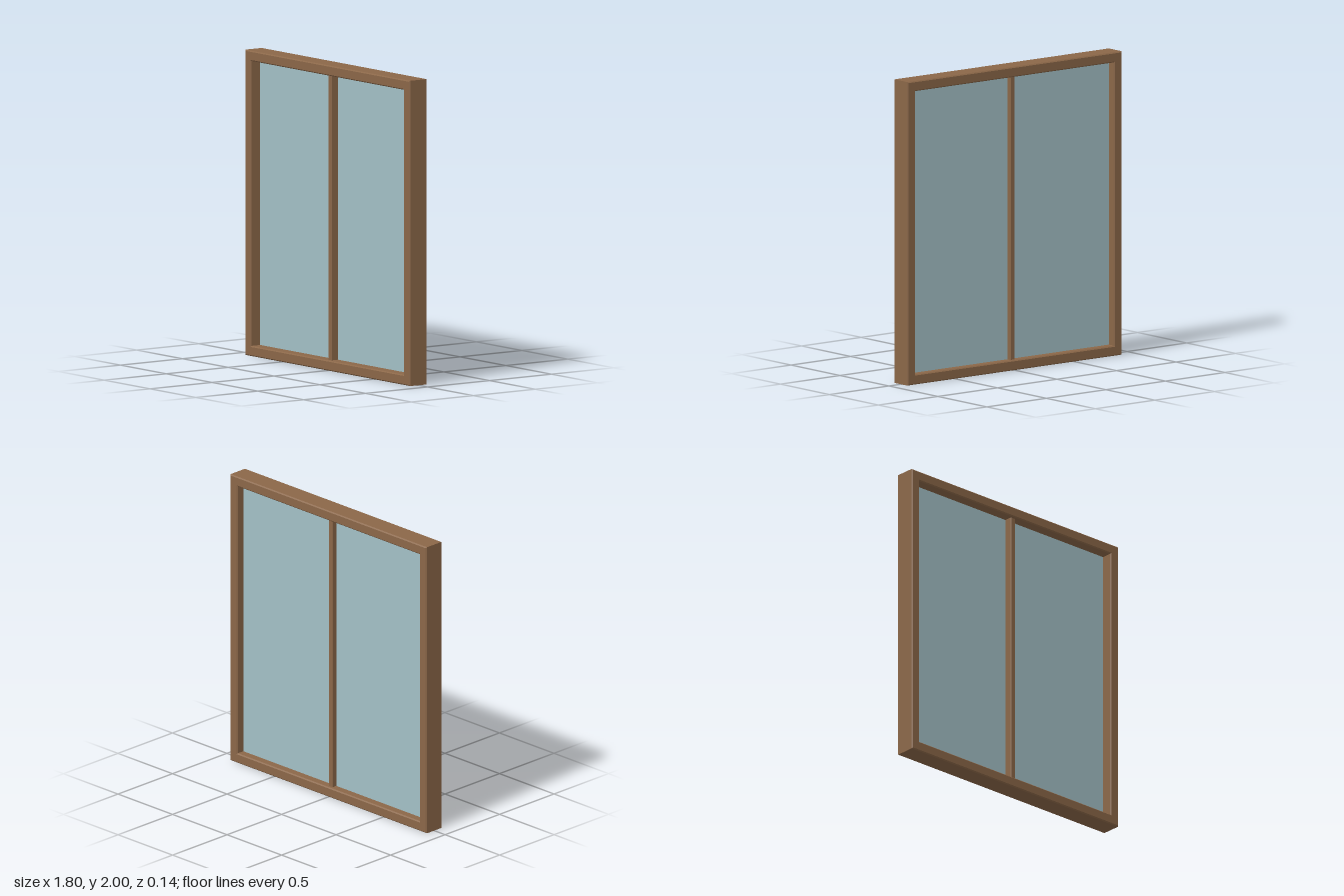
import * as THREE from 'three';

const W = 1.8, H = 2, DEPTH = 0.144, RAIL = 0.067, BEVEL = 0.007;

function rect(path, w, h) {
  path.moveTo(-w / 2, -h / 2);
  path.lineTo(w / 2, -h / 2);
  path.lineTo(w / 2, h / 2);
  path.lineTo(-w / 2, h / 2);
  path.closePath();
  return path;
}

// Extrudes along z, centred, with chamfered front and back edges
function bevelled(shape, depth, bevel) {
  const geometry = new THREE.ExtrudeGeometry(shape, {
    depth: depth - 2 * bevel,
    bevelEnabled: true,
    bevelThickness: bevel,
    bevelSize: bevel,
    bevelOffset: -bevel,
    bevelSegments: 1,
  });
  return geometry.translate(0, 0, -depth / 2 + bevel);
}

export function createModel() {
  const group = new THREE.Group();
  const wood = new THREE.MeshStandardMaterial({ color: 0x8b6748 });
  const glass = new THREE.MeshStandardMaterial({ color: 0xa3c0c6 });
  const add = (name, geometry, material, z = 0) => {
    const mesh = new THREE.Mesh(geometry, material);
    mesh.name = name;
    mesh.position.set(0, H / 2, z);
    group.add(mesh);
  };
  const innerW = W - 2 * RAIL, innerH = H - 2 * RAIL;

  // Outer frame with one large opening
  const frame = rect(new THREE.Shape(), W, H);
  frame.holes.push(rect(new THREE.Path(), innerW, innerH));
  add('frame', bevelled(frame, DEPTH, BEVEL), wood);

  // Central upright, its ends tucked into the frame
  add('mullion', bevelled(rect(new THREE.Shape(), 0.037, innerH + 0.03), 0.1, 0.004), wood);

  // Two panes meeting behind the upright
  for (const side of [-1, 1]) {
    const pane = new THREE.BoxGeometry(innerW / 2 + 0.01, innerH + 0.02, 0.012);
    pane.translate(side * (innerW / 4 + 0.005), 0, 0);
    add(side > 0 ? 'leftPane' : 'rightPane', pane, glass, -0.01);
  }
  return group;
}
